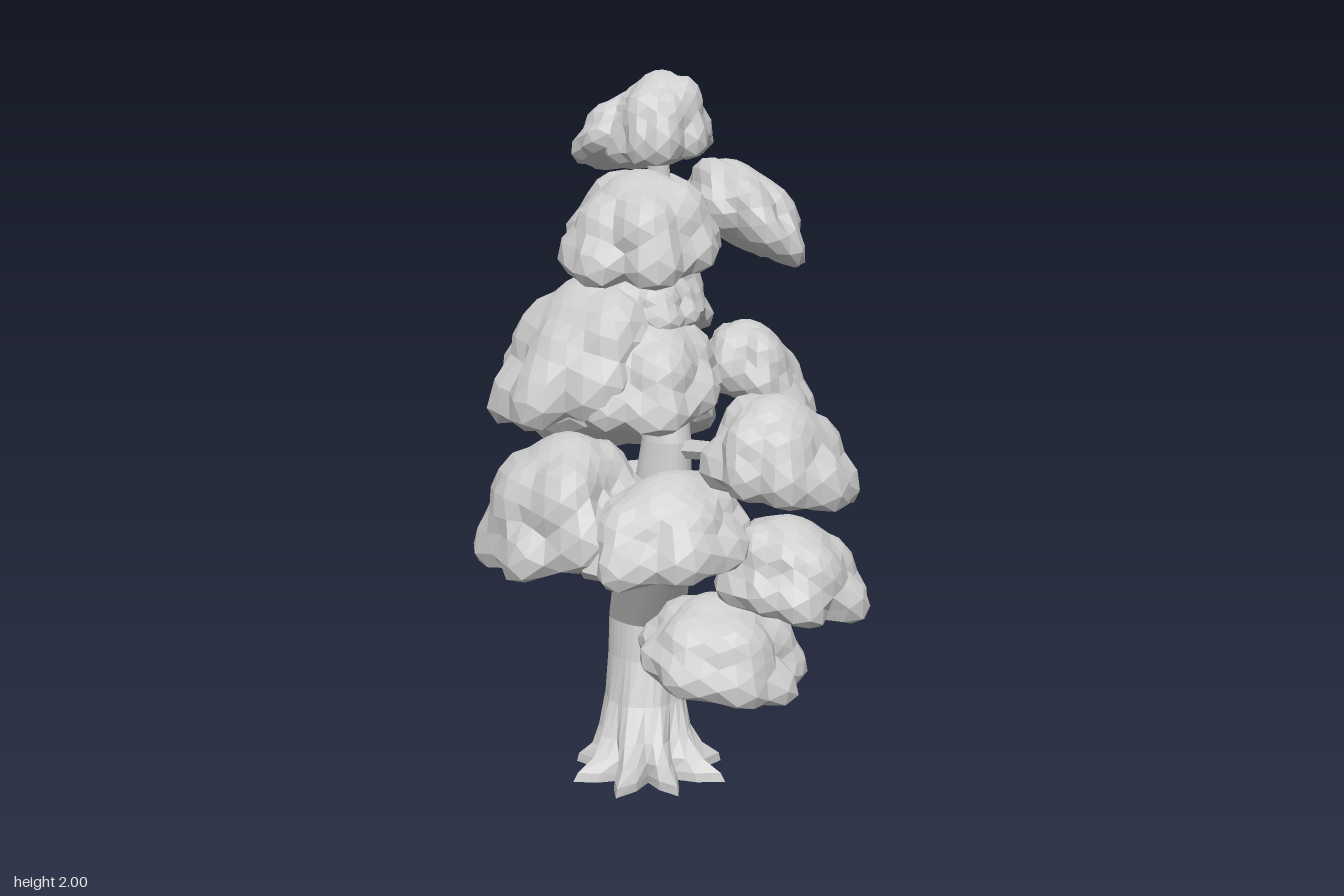
import * as THREE from 'three';

const grey = new THREE.MeshStandardMaterial({ color: 0xcccccc });
grey.name = 'plainGrey';

function seeded(seed) {
  let s = seed * 7919 + 17;
  return () => ((s = (s * 16807) % 2147483647) / 2147483647);
}

// Faceted mesh: unshared corners give one normal per face
function faceted(geometry, name) {
  const g = geometry.index ? geometry.toNonIndexed() : geometry;
  g.computeVertexNormals();
  const mesh = new THREE.Mesh(g, grey);
  mesh.name = name;
  return mesh;
}

// Move every vertex by a rule
function warp(geometry, rule) {
  const p = geometry.attributes.position, v = new THREE.Vector3();
  for (let i = 0; i < p.count; i++) {
    rule(v.fromBufferAttribute(p, i));
    p.setXYZ(i, v.x, v.y, v.z);
  }
  return geometry;
}

// Foliage pad: an outline around a dome and a ring of lobes, sheared, then fitted to a box
function foliage(name, x, y, z, droop, seed) {
  const rnd = seeded(seed);
  for (let i = 0; i < 5; i++) rnd();
  const lobes = [];
  const add = (px, py, pz, r) => lobes.push({ c: new THREE.Vector3(px, py, pz), r });
  add(0, 0.08, 0, 0.66);
  const n = 8;
  for (let i = 0; i < n; i++) {
    const a = ((i + rnd() * 0.5) / n) * Math.PI * 2, d = 0.62 + rnd() * 0.1;
    add(Math.cos(a) * d, -0.1 - rnd() * 0.14, Math.sin(a) * d, 0.34 + rnd() * 0.06);
  }
  for (let i = 0; i < 5; i++) {
    const a = ((i + rnd() * 0.6) / 5) * Math.PI * 2;
    add(Math.cos(a) * 0.42, 0.1 + rnd() * 0.12, Math.sin(a) * 0.42, 0.44);
  }
  const dir = new THREE.Vector3();
  const g = warp(new THREE.IcosahedronGeometry(1, 4), (v) => {
    dir.copy(v).normalize();
    let far = 0.2;
    for (const { c, r } of lobes) {
      const along = c.dot(dir), h = along * along - c.lengthSq() + r * r;
      if (h > 0) far = Math.max(far, along + Math.sqrt(h));
    }
    v.copy(dir).multiplyScalar(far);
    if (v.y < -0.3) v.y = -0.3 + (v.y + 0.3) * 0.45;
    v.y -= droop[0] * v.x + droop[1] * v.z;
  });
  g.computeBoundingBox();
  const { min, max } = g.boundingBox;
  const fit = (t, a, b, [lo, hi]) => lo + ((t - a) / (b - a)) * (hi - lo);
  warp(g, (v) => v.set(
    fit(v.x, min.x, max.x, x), fit(v.y, min.y, max.y, y), fit(v.z, min.z, max.z, z)));
  return faceted(g, name);
}

// Tapered limb between two points
function limb(name, a, b, r0, r1) {
  const axis = b.clone().sub(a);
  const g = new THREE.CylinderGeometry(r1, r0, axis.length(), 6, 2);
  g.applyQuaternion(new THREE.Quaternion().setFromUnitVectors(
    new THREE.Vector3(0, 1, 0), axis.clone().normalize()));
  g.translate((a.x + b.x) / 2, (a.y + b.y) / 2, (a.z + b.z) / 2);
  return faceted(g, name);
}

// Trunk rings: height, x, z, radius, depth of the root ridges
const rings = [
  [0, 0.03, -0.03, 0.165, 0.065], [0.025, 0.03, -0.03, 0.16, 0.06],
  [0.06, 0.03, -0.04, 0.138, 0.032], [0.11, 0.035, -0.07, 0.125, 0.014],
  [0.2, 0.055, -0.115, 0.114, 0.004], [0.32, 0.075, -0.15, 0.108, 0],
  [0.42, 0.09, -0.17, 0.11, 0], [0.58, 0.06, -0.06, 0.108, 0],
  [0.7, 0.04, 0.035, 0.105, 0], [0.86, 0.03, 0.085, 0.08, 0],
  [1.0, 0.04, 0.085, 0.068, 0], [1.2, 0.05, 0.04, 0.055, 0],
  [1.4, 0.05, 0.02, 0.042, 0], [1.6, 0.05, 0.01, 0.034, 0], [1.88, 0.04, 0, 0.025, 0],
];

function trunkPoint(y) {
  let i = 1;
  while (i < rings.length - 1 && rings[i][0] < y) i++;
  const [y0, x0, z0] = rings[i - 1], [y1, x1, z1] = rings[i];
  const t = (y - y0) / (y1 - y0);
  return new THREE.Vector3(x0 + (x1 - x0) * t, y, z0 + (z1 - z0) * t);
}

// Foliage pads: name, x range, y range, z range, downward slope towards +x and +z
const pads = [
  ['crownFront', [-0.11, 0.18], [1.75, 2.0], [-0.14, 0.18], [-0.12, 0.05]],
  ['crownBack', [-0.16, 0.23], [1.71, 1.95], [-0.24, 0.08], [0, -0.3]],
  ['upperFrontPad', [-0.3, 0.13], [1.46, 1.75], [-0.04, 0.42], [-0.1, 0.15]],
  ['upperLeftPad', [0.08, 0.42], [1.46, 1.77], [-0.15, 0.34], [0.4, 0.05]],
  ['upperBackPad', [-0.02, 0.25], [1.52, 1.71], [-0.29, 0.02], [0, -0.25]],
  ['middleBackPad', [-0.17, 0.3], [1.2, 1.5], [-0.39, -0.01], [0.1, -0.35]],
  ['middleRightPad', [-0.45, 0.07], [1.07, 1.48], [-0.22, 0.33], [-0.35, 0.1]],
  ['middleFrontPad', [-0.29, 0.14], [1.08, 1.37], [0.0, 0.42], [-0.15, 0.15]],
  ['innerFrontPad', [-0.18, 0.12], [1.33, 1.48], [0.02, 0.28], [0, 0.2]],
  ['middleLeftPad', [0.13, 0.46], [1.03, 1.32], [-0.08, 0.27], [0.3, 0]],
  ['lowerFrontPad', [0.01, 0.44], [0.87, 1.17], [0.24, 0.58], [0.1, 0.1]],
  ['lowerBackPad', [-0.19, 0.32], [0.85, 1.2], [-0.56, 0], [0.05, -0.38]],
  ['lowerRightPad', [-0.48, -0.02], [0.66, 1.03], [-0.27, 0.33], [-0.22, 0]],
  ['lowerRightFrontPad', [-0.3, 0.17], [0.68, 0.96], [0.12, 0.51], [-0.2, 0.15]],
  ['lowFrontPad', [0.05, 0.48], [0.55, 0.83], [0.18, 0.58], [0.15, 0.1]],
  ['lowBackPad', [-0.17, 0.41], [0.5, 0.86], [-0.585, -0.06], [0.12, -0.36]],
  ['lowestPad', [-0.08, 0.4], [0.29, 0.57], [-0.01, 0.41], [0.1, 0.2]],
];

export function createModel() {
  const tree = new THREE.Group();
  tree.name = 'tree';

  // Bent, tapering trunk flaring into eight roots
  const rows = rings.length;
  const trunk = new THREE.CylinderGeometry(1, 1, 1, 32, rows - 1);
  warp(trunk, (v) => {
    const row = Math.round((v.y + 0.5) * (rows - 1));
    const [y, x, z, r, ridge] = rings[row];
    const a = Math.atan2(v.z, v.x);
    const reach = r * (1 + 0.06 * Math.sin(a * 3 + row * 0.4)) + ridge * Math.cos(a * 8);
    v.set(x + v.x * reach, y, z + v.z * reach);
  });
  tree.add(faceted(trunk, 'trunk'));

  // Foliage, each pad below the crown carried by a branch
  const leaves = new THREE.Group(), branches = new THREE.Group();
  leaves.name = 'foliage';
  branches.name = 'branches';
  pads.forEach(([name, x, y, z, droop], i) => {
    leaves.add(foliage(name, x, y, z, droop, i + 3));
    if (i < 2) return;
    const mid = new THREE.Vector3(
      (x[0] + x[1]) / 2, y[0] + (y[1] - y[0]) * 0.45, (z[0] + z[1]) / 2);
    const r = 0.045 - 0.014 * mid.y;
    branches.add(limb('branch', trunkPoint(mid.y - 0.03), mid, r, r * 0.6));
  });
  tree.add(leaves, branches);
  return tree;
}
